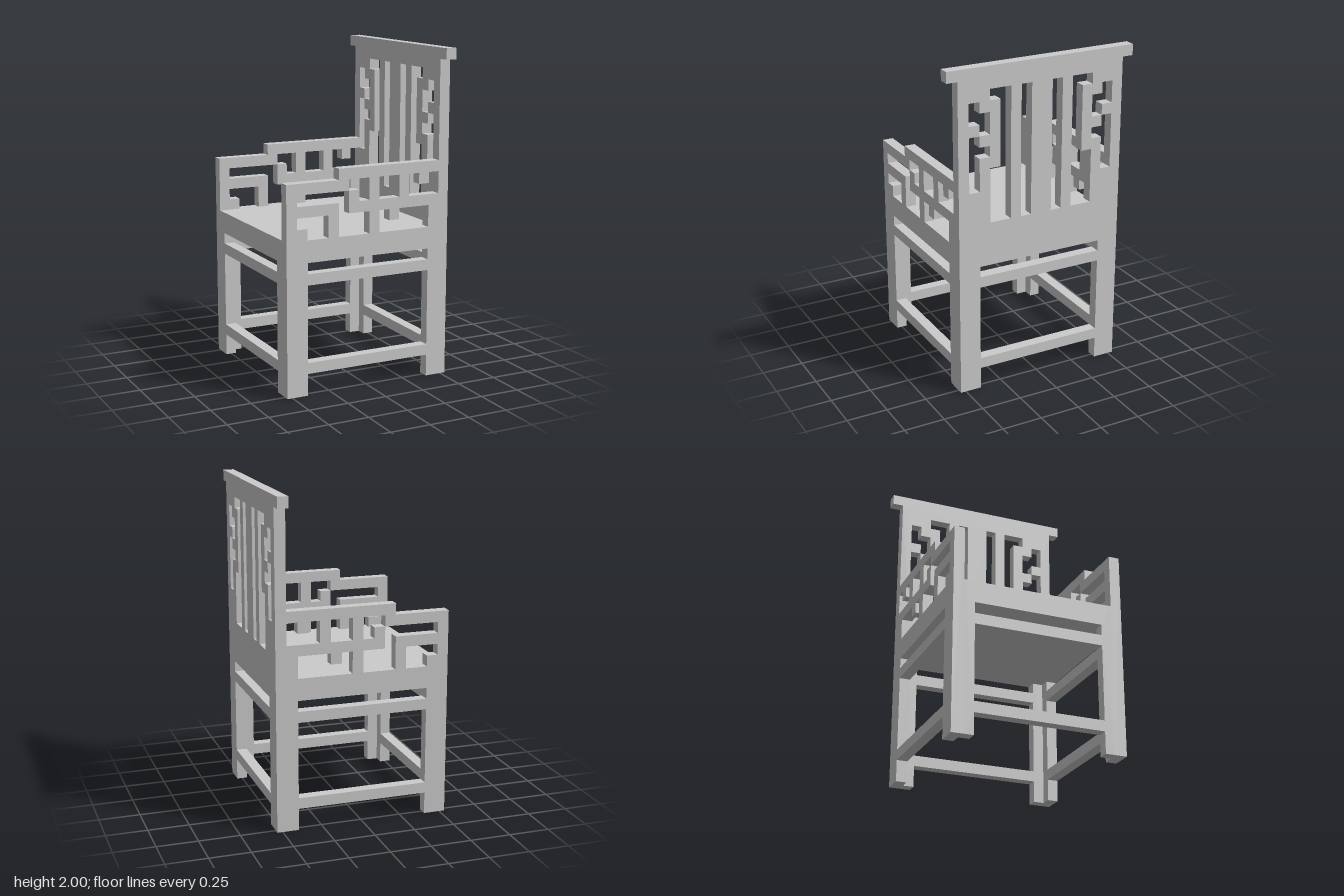
import * as THREE from 'three';

// All sizes are in modules of 1/15 unit; the chair's seat opens towards -x.
const UNIT = 1 / 15;
const material = new THREE.MeshStandardMaterial({ color: 0xcccccc });

const rect = (x0, y0, x1, y1) => [[x0, y0], [x1, y0], [x1, y1], [x0, y1]];
const mirror = (pts) => pts.map(([x, y]) => [-x, y]).reverse();
const toPoints = (pts) => pts.map(([x, y]) => new THREE.Vector2(x, y));

// One-module-thick board with cut-outs
function panel(name, outline, holes) {
  const shape = new THREE.Shape(toPoints(outline));
  shape.holes = holes.map((h) => new THREE.Path(toPoints(h)));
  const geometry = new THREE.ExtrudeGeometry(shape, { depth: 1, bevelEnabled: false });
  const mesh = new THREE.Mesh(geometry, material);
  mesh.name = name;
  return mesh;
}

function box(name, w, h, d, x, y, z) {
  const mesh = new THREE.Mesh(new THREE.BoxGeometry(w, h, d), material);
  mesh.name = name;
  mesh.position.set(x, y, z);
  return mesh;
}

// Feet and lower stretcher, shared by every frame (half width w)
const feet = (w) => [[-w, 0], [-6, 0], [-6, 2], [6, 2], [6, 0], [w, 0]];
// Openings between stretchers and apron
const frameHoles = [rect(-6, 3, 6, 10), rect(-6, 11, 6, 12)];

export function createModel() {
  const group = new THREE.Group();
  group.name = 'latticeArmchair';

  // Side frames with stepped arm and fretwork
  const armOutline = [...feet(8), [8, 20], [-3, 20], [-3, 19], [-8, 19]];
  const armHoles = [
    [[-7, 17], [-3, 17], [-3, 14], [0, 14], [0, 16], [-2, 16], [-2, 18], [-7, 18]],
    [[-2, 18], [-1, 18], [-1, 17], [0, 17], [0, 19], [-2, 19]],
    [[-6, 14], [-4, 14], [-4, 16], [-7, 16], [-7, 15], [-6, 15]],
    rect(1, 17, 3, 19),
    [[4, 17], [7, 17], [7, 19], [6, 19], [6, 18], [5, 18], [5, 19], [4, 19]],
    [[1, 14], [6, 14], [6, 16], [3, 16], [3, 15], [2, 15], [2, 16], [1, 16]],
  ];
  for (const [name, z] of [['leftSideFrame', 7], ['rightSideFrame', -8]]) {
    const side = panel(name, armOutline, [...frameHoles, ...armHoles]);
    side.position.z = z;
    group.add(side);
  }

  // Tall back with slats and mirrored fretwork
  const halfBackHoles = [
    rect(1, 16, 2, 28),
    [[3, 16], [5, 16], [5, 21], [4, 21], [4, 27], [5, 27], [5, 28], [3, 28]],
    [[5, 24], [6, 24], [6, 25], [7, 25], [7, 27], [6, 27], [6, 26], [5, 26]],
    [[6, 19], [7, 19], [7, 24], [6, 24], [6, 23], [5, 23], [5, 22], [6, 22]],
  ];
  const backHoles = [...frameHoles, ...halfBackHoles, ...halfBackHoles.map(mirror)];
  const back = panel('backFrame', [...feet(8), [8, 29], [-8, 29]], backHoles);
  back.rotation.y = Math.PI / 2;
  back.position.x = 7;
  group.add(back);

  // Frame under the open edge of the seat
  const front = panel('seatFrontFrame', [...feet(7), [7, 14], [-7, 14]], frameHoles);
  front.rotation.y = Math.PI / 2;
  front.position.x = -8;
  group.add(front);

  // Seat board, as deep as the apron, and top rail
  group.add(box('seat', 14, 2, 14, 0, 13, 0));
  group.add(box('topRail', 1, 1, 18, 7.5, 29.5, 0));

  group.scale.setScalar(UNIT);
  return group;
}
